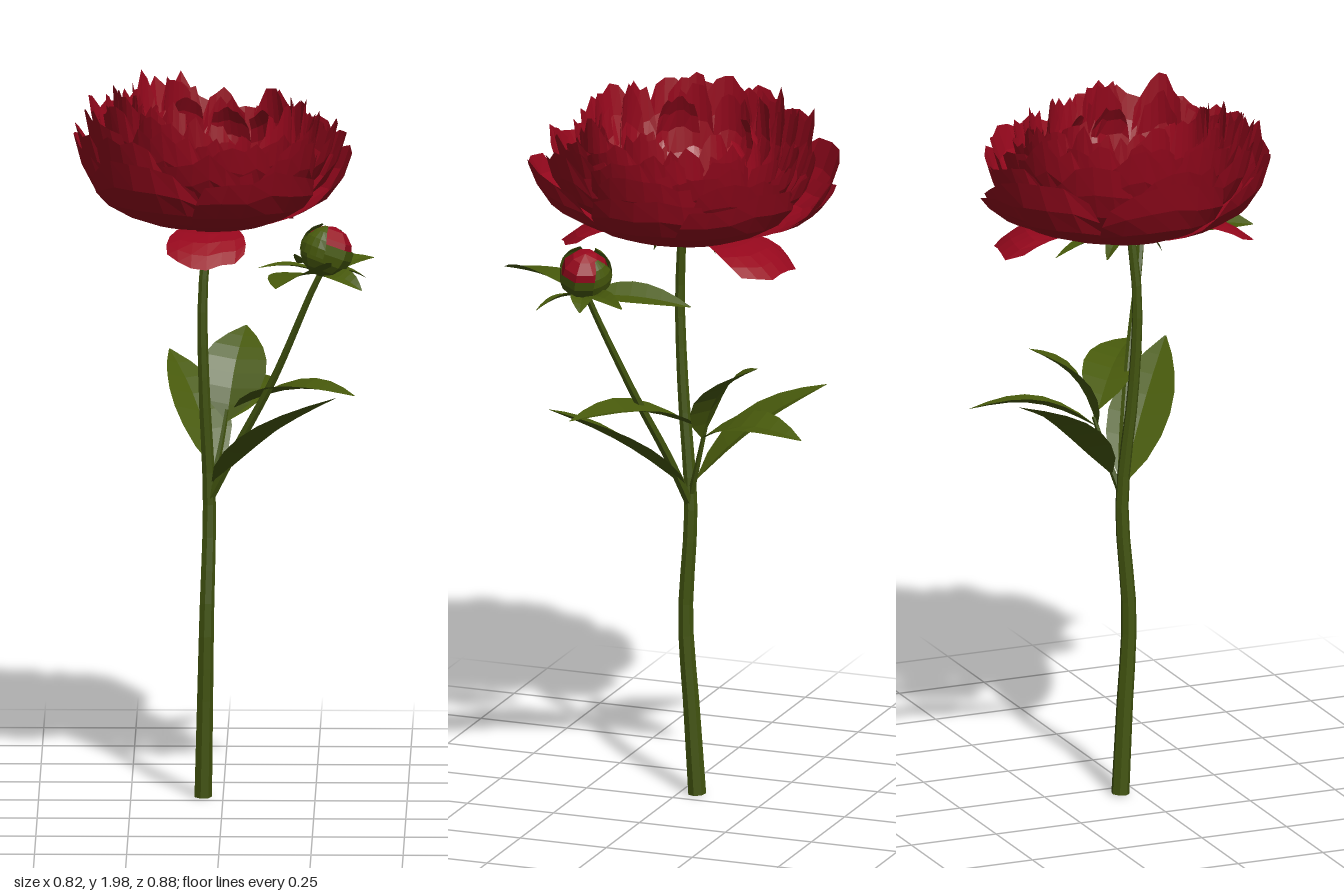
import * as THREE from 'three';
import { mergeGeometries } from 'three/addons/utils/BufferGeometryUtils.js';

const V = (x, y, z) => new THREE.Vector3(x, y, z);

function material(name, color) {
  const m = new THREE.MeshStandardMaterial({ color, flatShading: true, side: THREE.DoubleSide });
  m.name = name;
  return m;
}

function seeded(seed) {
  return () => {
    seed = (seed * 16807) % 2147483647;
    return seed / 2147483647;
  };
}

// Sheet whose vertices follow rule(s, t): s runs -1..1 across, t runs 0..1 along
function sheet(across, along, rule) {
  const geo = new THREE.PlaneGeometry(2, 1, across, along);
  const pos = geo.attributes.position;
  for (let i = 0; i < pos.count; i++) {
    const p = rule(pos.getX(i), pos.getY(i) + 0.5);
    pos.setXYZ(i, p.x, p.y, p.z);
  }
  geo.computeVertexNormals();
  return geo;
}

// Pointed leaf from base to tip, folded along its midrib, arched upwards and rolled by twist
function leaf(base, tip, width, arch = 0.03, fold = 0.25, twist = 0) {
  const dir = tip.clone().sub(base).normalize();
  const side = dir.clone().cross(V(0, 1, 0)).normalize().applyAxisAngle(dir, twist);
  const up = side.clone().cross(dir);
  return sheet(4, 7, (s, t) => {
    const half = 0.5 * width * Math.pow(Math.sin(Math.PI * Math.pow(t, 0.85)), 0.9) + 0.002;
    return base.clone().lerp(tip, t)
      .addScaledVector(side, s * half)
      .addScaledVector(up, arch * Math.sin(Math.PI * t) + Math.abs(s) * half * fold);
  });
}

// Tapered stem along a smooth path
function stem(points, r0, r1, sides = 7) {
  const path = new THREE.CatmullRomCurve3(points);
  const n = 18;
  const geo = new THREE.TubeGeometry(path, n, 1, sides);
  const pos = geo.attributes.position;
  const p = V(0, 0, 0);
  for (let i = 0; i < pos.count; i++) {
    const k = Math.floor(i / (sides + 1)) / n;
    const c = path.getPointAt(k);
    p.fromBufferAttribute(pos, i).sub(c).multiplyScalar(r0 + (r1 - r0) * k).add(c);
    pos.setXYZ(i, p.x, p.y, p.z);
  }
  return geo;
}

// Cupped petal around the bloom axis; profile lists [radius, height] from base to rim
const CENTRE = V(-0.03, 0, -0.02);
function petal(profile, angle, halfAngle, rand, reach = 1) {
  const curve = new THREE.CatmullRomCurve3(profile.map(([r, y]) => V(r, y, 0)));
  const notch = [0, 1, 2, 3, 4, 5, 6].map(() => rand() * 0.09);
  const swell = 0.96 + rand() * 0.08;
  return sheet(6, 6, (s, t) => {
    const cut = 0.1 * s * s + notch[Math.round((s + 1) * 3)];
    const p = curve.getPoint(t * reach * (1 - cut * t));
    const a = angle + s * halfAngle * (1 - 0.25 * t * t * t);
    const r = p.x * swell * (1 - 0.05 * s * s + 0.05 * s);
    const x = CENTRE.x + r * Math.cos(a);
    const z = CENTRE.z + 1.07 * r * Math.sin(a);
    // Rim dips near the middle and is a little higher on one side
    const lift = Math.max(0, p.y - 1.65) / 0.3;
    const dip = 0.05 * Math.exp(-Math.pow((x - 0.03) / 0.09, 2)) + 0.08 * x;
    return V(x, p.y - lift * dip, z);
  });
}

export function createModel() {
  const model = new THREE.Group();
  const petalRed = material('petal red', 0x97081d);
  const leafGreen = material('leaf green', 0x485a0c);
  const stemGreen = material('stem green', 0x42540f);
  const rand = seeded(4711);

  const add = (name, geos, mat, parent = model) => {
    const mesh = new THREE.Mesh(Array.isArray(geos) ? mergeGeometries(geos) : geos, mat);
    mesh.name = name;
    parent.add(mesh);
    return mesh;
  };

  // Stems
  add('mainStem', stem([V(-0.055, 0, -0.05), V(-0.05, 0.25, -0.035), V(-0.045, 0.5, -0.02),
    V(-0.038, 0.82, -0.038), V(-0.052, 1.15, -0.01), V(-0.055, 1.4, 0), V(-0.035, 1.62, -0.015)],
  0.025, 0.012), stemGreen);
  const cut = add('stemCut', new THREE.CircleGeometry(0.025, 7), stemGreen);
  cut.rotation.x = Math.PI / 2;
  cut.position.set(-0.055, 0.002, -0.05);
  add('budStem', stem([V(-0.035, 0.83, -0.035), V(0.04, 0.98, 0), V(0.14, 1.18, 0.06),
    V(0.25, 1.45, 0.14), V(0.28, 1.51, 0.15)], 0.014, 0.009, 6), stemGreen);
  add('leafStalk', stem([V(-0.035, 0.85, -0.04), V(-0.01, 0.95, -0.07), V(0.01, 1.06, -0.1)],
    0.01, 0.006, 5), stemGreen);

  // Stem leaves
  const fork = V(0.01, 1.03, -0.09);
  add('stemLeaves', [
    leaf(V(-0.03, 0.87, -0.03), V(0.31, 1.16, 0.24), 0.17, 0.02),
    leaf(V(0.03, 1.07, -0.08), V(0.36, 1.15, 0.16), 0.15, 0.035),
    leaf(fork, V(0.06, 1.26, -0.27), 0.18, 0.04, 0.2, 0.1),
    leaf(V(-0.02, 0.9, -0.06), V(-0.15, 1.17, -0.39), 0.16, 0.03, 0.25, 0.12),
    leaf(fork, V(0.12, 1.09, -0.42), 0.13, 0.04, 0.25, 0.2),
  ], leafGreen);

  // Bloom: nested rings of cupped petals, tallest towards the open heart
  const bloom = new THREE.Group();
  bloom.name = 'bloom';
  model.add(bloom);
  const rings = [
    { n: 6, half: 0.66, profile: [[0.03, 1.59], [0.19, 1.61], [0.335, 1.69], [0.395, 1.84]] },
    { n: 8, half: 0.5, profile: [[0.1, 1.61], [0.2, 1.64], [0.315, 1.73], [0.37, 1.89]] },
    { n: 9, half: 0.44, profile: [[0.12, 1.62], [0.2, 1.66], [0.295, 1.76], [0.34, 1.93]] },
    { n: 11, half: 0.36, profile: [[0.12, 1.63], [0.19, 1.67], [0.27, 1.78], [0.305, 1.955]] },
    { n: 12, half: 0.3, profile: [[0.1, 1.63], [0.17, 1.67], [0.245, 1.78], [0.265, 1.985]] },
    { n: 9, half: 0.3, profile: [[0.03, 1.62], [0.14, 1.65], [0.22, 1.77], [0.215, 1.99]] },
  ];
  rings.forEach(({ n, half, profile }, k) => {
    const petals = [];
    for (let i = 0; i < n; i++) {
      const angle = ((i + (rand() - 0.5) * 0.35) / n) * Math.PI * 2 + k * 0.7;
      petals.push(petal(profile, angle, half, rand, 0.94 + rand() * 0.06));
    }
    add('petalRing' + (k + 1), petals, petalRed, bloom);
  });

  // Petals curling into the heart
  const curl = [[0.09, 1.64], [0.16, 1.7], [0.19, 1.83], [0.15, 1.93]];
  add('innerPetals', [-2.0, -1.3, -0.6, 0.1, 2.7].map((a) => petal(curl, a, 0.34, rand)),
    petalRed, bloom);

  // Loose petals hanging beneath the bloom
  const droop = [[0.03, 1.6], [0.15, 1.61], [0.26, 1.59], [0.34, 1.53]];
  const spread = [[0.03, 1.6], [0.2, 1.62], [0.34, 1.67], [0.41, 1.76]];
  add('loosePetals', [
    petal(droop, -1.2, 0.5, rand),
    petal(droop, 1.6, 0.5, rand),
    petal(spread, -1.75, 0.5, rand),
  ], petalRed, bloom);

  // Seed head and small sepals at the bloom's base
  const head = [];
  for (let i = 0; i < 5; i++) {
    const a = (i / 5) * Math.PI * 2;
    const cone = new THREE.ConeGeometry(0.016, 0.07, 5);
    cone.translate(-0.027 + 0.022 * Math.cos(a), 1.64, -0.03 + 0.022 * Math.sin(a));
    head.push(cone);
  }
  add('seedHead', head, stemGreen, bloom);
  const sepals = [];
  for (let i = 0; i < 5; i++) {
    const a = (i / 5) * Math.PI * 2 + 0.5;
    sepals.push(leaf(V(-0.035, 1.6, -0.015),
      V(-0.035 + 0.09 * Math.cos(a), i % 2 ? 1.53 : 1.58, -0.015 + 0.09 * Math.sin(a)), 0.05, 0.015));
  }
  add('bloomSepals', sepals, leafGreen, bloom);

  // Bud: red heart in a green cup, leaning outwards
  const bud = new THREE.Group();
  bud.name = 'bud';
  bud.position.set(0.285, 1.55, 0.145);
  bud.rotation.set(-0.15, 0, -0.35);
  model.add(bud);
  add('budHeart', new THREE.SphereGeometry(0.068, 8, 6), petalRed, bud);
  add('budCup', new THREE.SphereGeometry(0.073, 8, 5, 0, Math.PI * 2, Math.PI * 0.42, Math.PI * 0.58),
    leafGreen, bud);
  const wraps = [2.2, 3.6, 5.0].map((a) => sheet(4, 4, (s, t) => {
    const around = a + s * 0.6 * (1 - 0.75 * t * t);
    const theta = Math.PI * (0.6 - 0.42 * t);
    return V(Math.sin(theta) * Math.cos(around), Math.cos(theta), Math.sin(theta) * Math.sin(around))
      .multiplyScalar(0.075);
  }));
  add('budWraps', wraps, leafGreen, bud);

  // Leaves spreading under the bud: tip, width and roll
  const node = V(0.275, 1.485, 0.15);
  const tips = [
    [0.15, 1.5, 0.43, 0.16, 0.25], [0.41, 1.5, -0.01, 0.05, 0.3], [0.39, 1.47, 0.12, 0.06, 0],
    [0.38, 1.46, 0.25, 0.06, 0.3], [0.1, 1.51, 0.19, 0.05, 0], [0.2, 1.46, -0.13, 0.1, 0.3],
  ];
  add('budLeaves', tips.map(([x, y, z, w, roll]) => leaf(node, V(x, y, z), w, 0.015, 0.25, roll)),
    leafGreen);

  return model;
}
